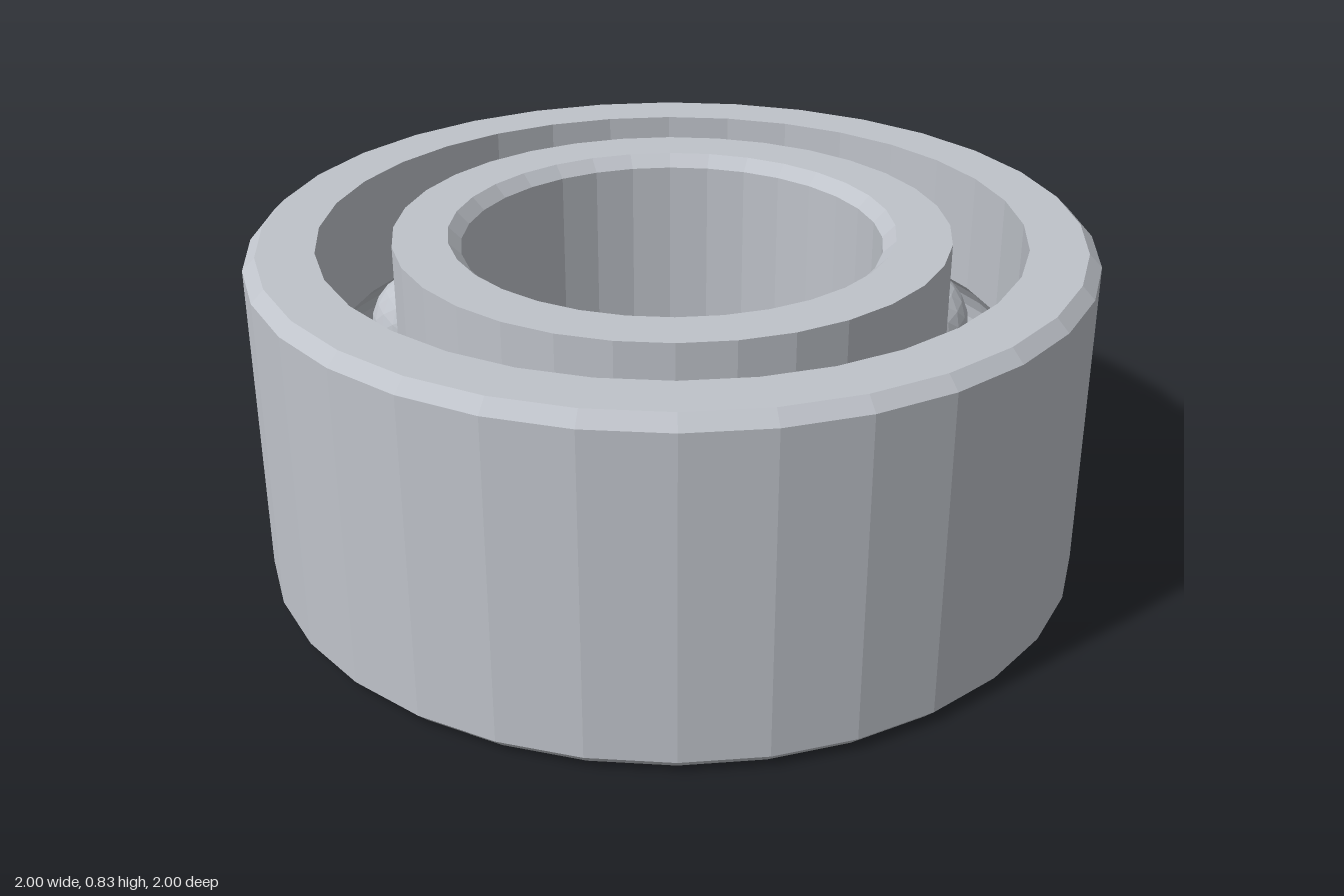
import * as THREE from 'three';

const HEIGHT = 0.83, MID = HEIGHT / 2, CHAMFER = 0.03;
const SIDES = 32, BALLS = 12, PITCH = 0.75, BALL_R = 0.14, GROOVE_R = 0.143;

// give every face its own normal
function faceted(geometry) {
  const g = geometry.index ? geometry.toNonIndexed() : geometry;
  g.computeVertexNormals();
  return g;
}

// arc of the ball groove, bottom to top, cut into a wall of the given radius
function groove(wall) {
  const offset = wall - PITCH;
  const half = Math.acos(Math.abs(offset) / GROOVE_R);
  const points = [];
  for (let i = 0; i <= 8; i++) {
    const a = -half + (2 * half * i) / 8;
    points.push([PITCH + Math.sign(offset) * GROOVE_R * Math.cos(a), MID + GROOVE_R * Math.sin(a)]);
  }
  return points;
}

function ring(name, profile, material) {
  const points = [...profile, profile[0]].map(([r, y]) => new THREE.Vector2(r, y));
  const mesh = new THREE.Mesh(faceted(new THREE.LatheGeometry(points, SIDES)), material);
  mesh.name = name;
  return mesh;
}

export function createModel() {
  const group = new THREE.Group();
  group.name = 'ballBearing';
  const steel = new THREE.MeshStandardMaterial({ color: 0xbfc3ca });
  steel.name = 'steel';

  // outer ring: chamfered outside, grooved inside
  group.add(ring('outerRing', [
    [1 - CHAMFER, 0], [1, CHAMFER], [1, HEIGHT - CHAMFER], [1 - CHAMFER, HEIGHT],
    [0.835, HEIGHT], ...groove(0.835).reverse(), [0.835, 0],
  ], steel));

  // inner ring: grooved outside, chamfered bore
  group.add(ring('innerRing', [
    [0.66, 0], ...groove(0.66), [0.66, HEIGHT],
    [0.5 + CHAMFER, HEIGHT], [0.5, HEIGHT - CHAMFER], [0.5, CHAMFER], [0.5 + CHAMFER, 0],
  ], steel));

  // balls
  const balls = new THREE.Group();
  balls.name = 'balls';
  const ballGeometry = faceted(new THREE.IcosahedronGeometry(BALL_R, 3));
  for (let i = 0; i < BALLS; i++) {
    const a = (i / BALLS) * Math.PI * 2;
    const ball = new THREE.Mesh(ballGeometry, steel);
    ball.name = `ball${i + 1}`;
    ball.position.set(PITCH * Math.cos(a), MID, PITCH * Math.sin(a));
    balls.add(ball);
  }
  group.add(balls);
  return group;
}
